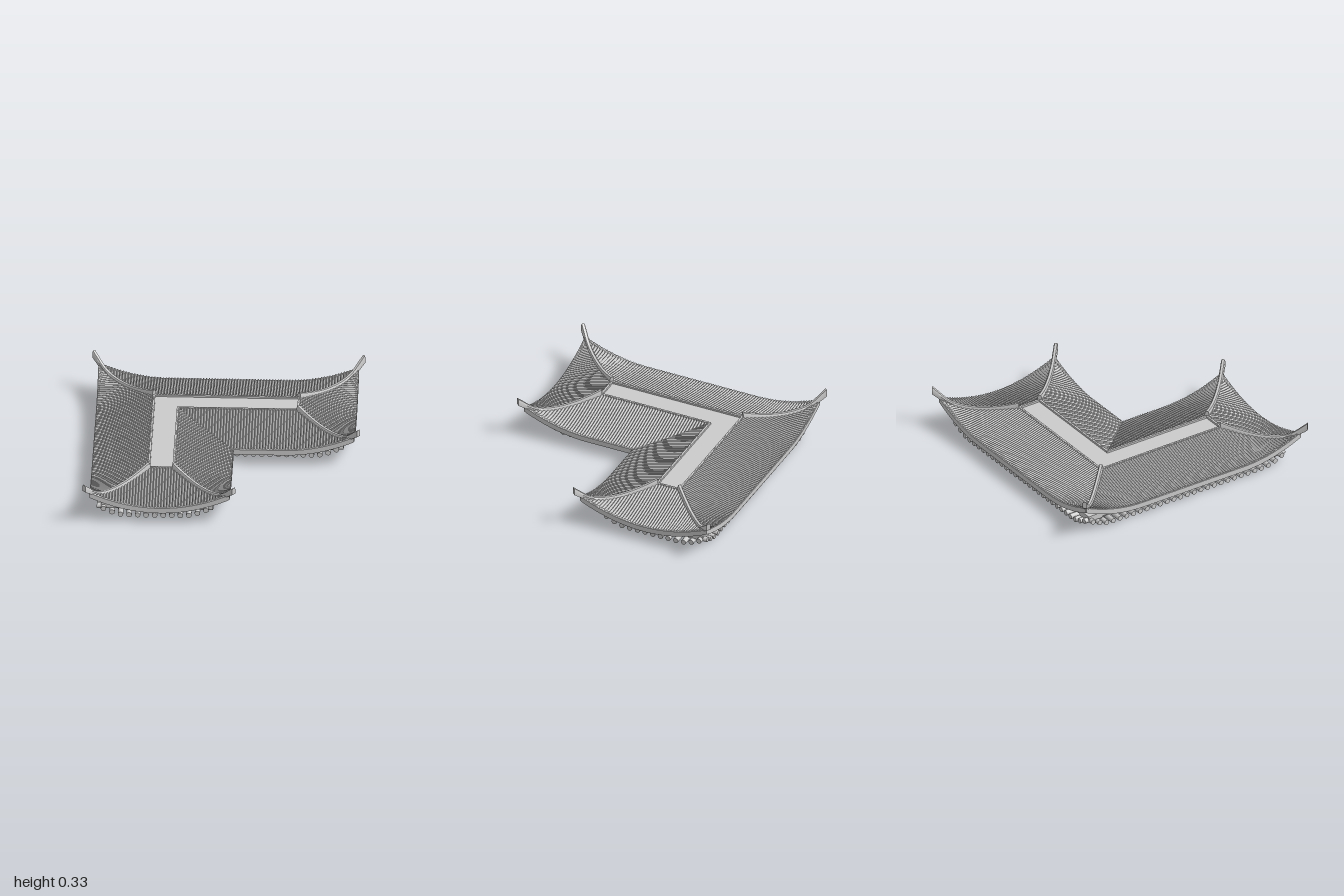
import * as THREE from 'three';
import { toCreasedNormals } from 'three/addons/utils/BufferGeometryUtils.js';

const D = 0.42;        // plan depth of every slope
const PITCH = 0.021;   // spacing of the tile ribs
const VALLEY = 3;      // index of the inner corner in an outline
const mat = new THREE.MeshStandardMaterial({ color: 0xcccccc, side: THREE.DoubleSide });

// Corners of an L: outer limits lo..hi, inner corner at c
const outline = (lo, hi, c) => [[lo, lo], [hi, lo], [hi, c], [c, c], [c, hi], [lo, hi]];

// Edges of an outline: at(s, d) gives the plan point s along the edge and d inwards
function edges(points) {
  return points.map((a, i) => {
    const b = points[(i + 1) % 6];
    const L = Math.hypot(b[0] - a[0], b[1] - a[1]);
    const ex = (b[0] - a[0]) / L, ez = (b[1] - a[1]) / L;
    return {
      L, ex, ez, startValley: i === VALLEY, endValley: i + 1 === VALLEY,
      at: (s, d) => [a[0] + ex * s - ez * d, a[1] + ez * s + ex * d],
    };
  });
}

// Distance to the nearest lifted corner of an edge
const cornerDistance = (e, s) =>
  Math.min(e.startValley ? 9 : s, e.endValley ? 9 : e.L - s);

// Concave roof height: t is the distance from a lifted corner, v runs 0 eave to 1 ridge
function roofY(t, v) {
  const lift = 0.12 * Math.max(0, 1 - t / 0.51) ** 2;
  return 0.125 + 0.1 * Math.max(0, v) ** 1.3 + lift * (1 - v) ** 2;
}

function mesh(name, geometry, parent) {
  const m = new THREE.Mesh(geometry, mat);
  m.name = name;
  parent.add(m);
  return m;
}

function group(name, parent) {
  const g = new THREE.Group();
  g.name = name;
  parent.add(g);
  return g;
}

function buffer(pos, idx) {
  const g = new THREE.BufferGeometry();
  g.setAttribute('position', new THREE.Float32BufferAttribute(pos, 3));
  g.setIndex(idx);
  g.computeVertexNormals();
  return g;
}

// Join equal rings of points into a capped solid
function loft(rings) {
  const n = rings[0].length, idx = [], last = (rings.length - 1) * n;
  for (let i = 0; i < rings.length - 1; i++)
    for (let j = 0; j < n; j++) {
      const a = i * n + j, b = i * n + (j + 1) % n;
      idx.push(a, b, a + n, b, b + n, a + n);
    }
  for (let j = 1; j < n - 1; j++) idx.push(0, j + 1, j, last, last + j, last + j + 1);
  return toCreasedNormals(buffer(rings.flat(2), idx), 0.6);
}

// One slope as columns running up from the eave, cut by the hips and the valley
function slope(e, offset, step, rib) {
  const s0 = e.startValley ? -D : 0, s1 = e.endValley ? e.L + D : e.L;
  const cols = Math.round((s1 - s0) / step), rows = 12, pos = [], idx = [];
  for (let i = 0; i <= cols; i++) {
    const s = s0 + (s1 - s0) * i / cols;
    const low = Math.max(0, e.startValley ? -s : 0, e.endValley ? s - e.L : 0);
    const high = Math.min(D, Math.max(0, cornerDistance(e, s)));
    for (let j = 0; j <= rows; j++) {
      const d = low + (high - low) * j / rows;
      const [x, z] = e.at(s, d);
      pos.push(x, roofY(cornerDistance(e, s), d / D) + offset + rib(s), z);
      if (i < cols && j < rows) {
        const a = i * (rows + 1) + j, b = a + rows + 1;
        idx.push(a, a + 1, b, b, a + 1, b + 1);
      }
    }
  }
  return buffer(pos, idx);
}

// Half-round cover tiles between flat channels
function tileRib(s) {
  const p = ((s / PITCH) % 1 + 1) % 1;
  return 0.012 * Math.sqrt(Math.max(0, 1 - ((p - 0.5) / 0.34) ** 2));
}

// Curved board along an eave
function fascia(e) {
  const rings = [];
  for (let i = 0; i <= 40; i++) {
    const s = e.L * i / 40, y = roofY(cornerDistance(e, s), 0);
    rings.push([[-0.004, 0.003], [-0.004, -0.038], [0.018, -0.038], [0.018, 0.003]]
      .map(([d, h]) => { const [x, z] = e.at(s, d); return [x, y + h, z]; }));
  }
  return loft(rings);
}

// Hip ridge from the top corner down to its upturned tip
function hip([cx, cz], [tx, tz]) {
  const dx = tx - cx, dz = tz - cz, len = Math.hypot(dx, dz);
  const px = -dz / len, pz = dx / len, rings = [];
  for (let i = 0; i <= 28; i++) {
    const v = 1 - 1.09 * i / 28;
    const tip = Math.max(0, (0.2 - v) / 0.29) ** 2;
    const y = roofY(Math.max(0, v) * D, v) + 0.025 * tip;
    const h = 0.024 + 0.02 * Math.max(0, (v - 0.5) / 0.5) ** 2 + 0.016 * tip;
    const w = 0.016;
    rings.push([[-w, -0.015], [w, -0.015], [w, h * 0.6], [w * 0.6, h], [-w * 0.6, h], [-w, h * 0.6]]
      .map(([o, k]) => [cx + dx * v + px * o, y + k, cz + dz * v + pz * o]));
  }
  return loft(rings);
}

// Flat L-shaped slab
function slab(lo, hi, c, y0, y1) {
  const shape = new THREE.Shape(outline(lo, hi, c).map(p => new THREE.Vector2(...p)));
  return new THREE.ExtrudeGeometry(shape, { depth: y1 - y0, bevelEnabled: false })
    .rotateX(Math.PI / 2).translate(0, y1, 0);
}

export function createModel() {
  const model = new THREE.Group();
  model.name = 'cornerRoof';

  // Tiled slopes, their undersides and the eave boards
  const eaves = outline(-0.95, 0.95, 0.07), tops = outline(-0.53, 0.53, -0.35);
  const roof = group('tiledRoof', model);
  for (const e of edges(eaves)) {
    mesh('tileSlope', slope(e, 0, PITCH / 6, tileRib), roof);
    mesh('soffit', slope(e, -0.032, 0.04, () => 0), roof);
    mesh('eaveBoard', fascia(e), roof);
  }

  // Hip ridges at the five outer corners
  const ridges = group('ridges', model);
  eaves.forEach((c, i) => { if (i !== VALLEY) mesh('hipRidge', hip(c, tops[i]), ridges); });

  // Flat top and its low border
  mesh('flatTop', slab(-0.53, 0.53, -0.35, 0.195, 0.22), model);
  for (const e of edges(tops)) {
    const [x, z] = e.at(e.L / 2, 0);
    const b = mesh('topBorder', new THREE.BoxGeometry(e.L + 0.016, 0.035, 0.016), ridges);
    b.position.set(x, 0.217, z);
    b.rotation.y = Math.atan2(-e.ez, e.ex);
  }

  // Stepped beams carrying the eaves
  mesh('lowerBeam', slab(-0.83, 0.8, -0.1, 0.038, 0.08), model);
  mesh('upperBeam', slab(-0.87, 0.84, -0.05, 0.072, 0.105), model);

  // Round rafters around the edge, lifting towards the outer corners
  const rafters = group('rafters', model);
  const log = new THREE.CylinderGeometry(0.02, 0.02, 0.15, 12).rotateX(Math.PI / 2);
  for (const e of edges(outline(-0.9, 0.87, -0.05))) {
    const s0 = e.startValley ? -0.1 : 0.05, s1 = e.endValley ? e.L + 0.1 : e.L - 0.05;
    const n = Math.round((s1 - s0) / 0.06);
    for (let i = 0; i <= n; i++) {
      const s = s0 + (s1 - s0) * i / n;
      const [x, z] = e.at(s, 0.075);
      const r = mesh('rafter', log, rafters);
      r.position.set(x, 0.02 + 0.075 * Math.max(0, 1 - cornerDistance(e, s) / 0.2) ** 1.5, z);
      r.rotation.y = Math.atan2(-e.ez, e.ex);
    }
  }

  // Ceiling strips following both wings
  const ceiling = group('ceilingStrips', model);
  for (let i = 0; i < 12; i++) {
    const p = -0.74 + i * 0.0485, end = 0.72, w = 0.026;
    for (const alongX of [true, false]) {
      const len = end - p + w / 2, mid = (end + p - w / 2) / 2;
      const b = mesh('ceilingStrip', new THREE.BoxGeometry(alongX ? len : w, 0.022, alongX ? w : len), ceiling);
      b.position.set(alongX ? mid : p, 0.029, alongX ? p : mid);
    }
  }
  return model;
}
